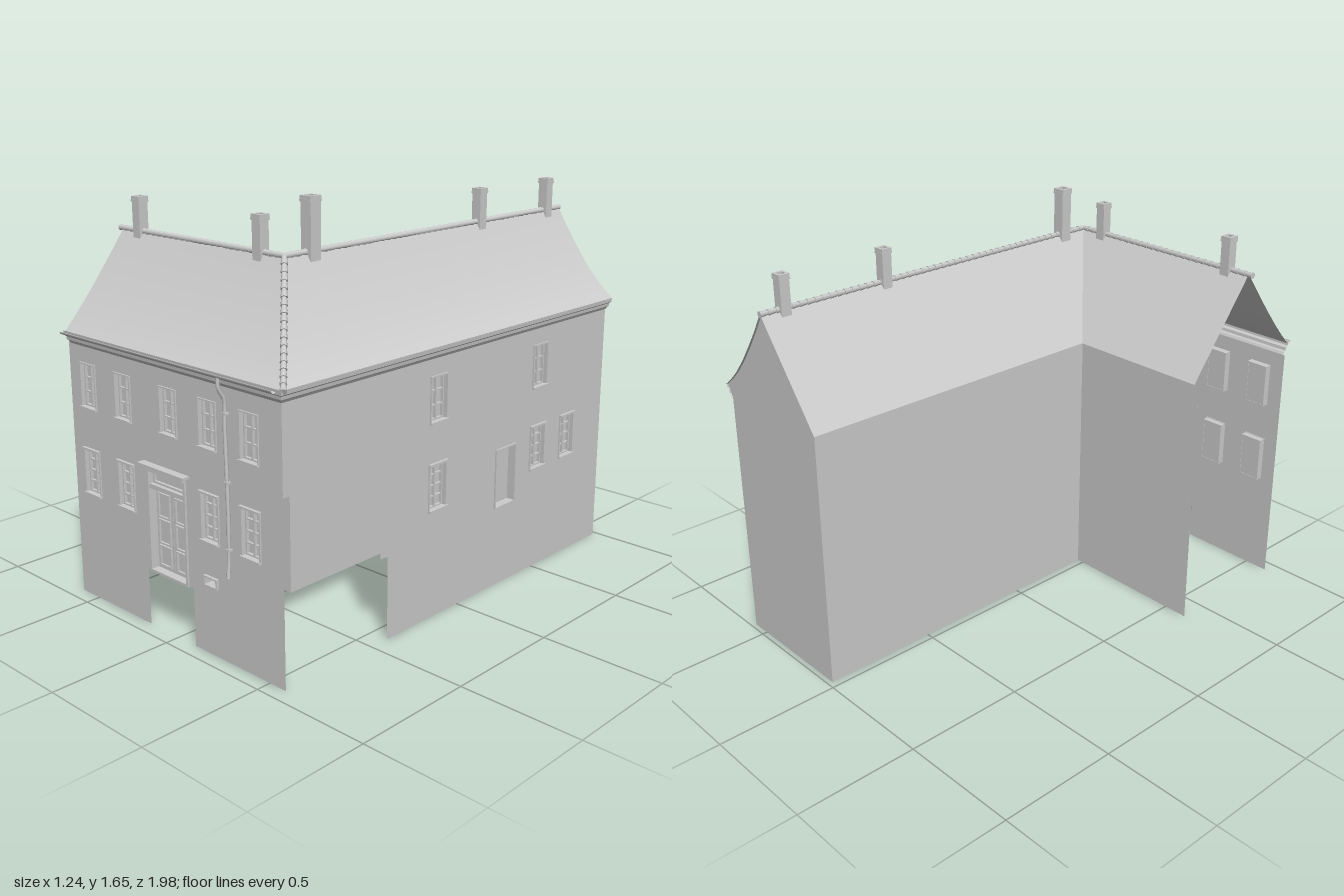
import * as THREE from 'three';
import { mergeGeometries } from 'three/addons/utils/BufferGeometryUtils.js';

const mat = new THREE.MeshStandardMaterial({ color: 0xcccccc, side: THREE.DoubleSide });
const flat = new THREE.MeshStandardMaterial({ color: 0xcccccc, side: THREE.DoubleSide, flatShading: true });

const BASE = 0.335, EAVE = 1.04, RIDGE = 1.455, RX = 0.31, RZ = 0.66;
// roof profile: distance from the ridge, height (slightly flared at the eave)
const PROFILE = [[0, 1.455], [0.05, 1.374], [0.1, 1.302], [0.155, 1.228], [0.21, 1.165], [0.255, 1.123], [0.298, 1.09]];

function add(parent, name, geo, m = mat) {
  const mesh = new THREE.Mesh(geo, m);
  mesh.name = name;
  parent.add(mesh);
  return mesh;
}

function box(parent, name, w, h, d, x, y, z) {
  const mesh = add(parent, name, new THREE.BoxGeometry(w, h, d));
  mesh.position.set(x, y, z);
  return mesh;
}

// surface through rows of points; rows run down, columns run to the right
function grid(rows) {
  const n = rows[0].length, index = [];
  for (let i = 0; i < rows.length - 1; i++)
    for (let j = 0; j < n - 1; j++) {
      const a = i * n + j, b = a + n;
      index.push(a, b, a + 1, a + 1, b, b + 1);
    }
  const g = new THREE.BufferGeometry();
  g.setAttribute('position', new THREE.Float32BufferAttribute(rows.flat(2), 3));
  g.setIndex(index);
  g.computeVertexNormals();
  return g;
}

const polygon = pts => new THREE.Shape(pts.map(p => new THREE.Vector2(...p)));
const rect = (x, y, w, h) => [[x - w / 2, y], [x + w / 2, y], [x + w / 2, y + h], [x - w / 2, y + h]];

// flat wall with rectangular openings [x, y, w, h]
function wall(parent, name, pts, openings = []) {
  const s = polygon(pts);
  openings.forEach(o => s.holes.push(new THREE.Path(rect(...o).map(p => new THREE.Vector2(...p)))));
  return add(parent, name, new THREE.ShapeGeometry(s));
}

// rectangular ring around an opening, lining the reveal and standing slightly proud
function surround(parent, name, x, y, w, h, border, back, front) {
  const s = polygon(rect(x, y - border, w + border * 2, h + border * 2));
  s.holes.push(new THREE.Path(rect(x, y, w, h).map(p => new THREE.Vector2(...p))));
  const g = new THREE.ExtrudeGeometry(s, { depth: front - back, bevelEnabled: false });
  add(parent, name, g.translate(0, 0, back));
}

function makeWindow(parent, [x, y, w, h], panes, hooded) {
  const g = new THREE.Group();
  g.name = 'window';
  parent.add(g);
  surround(g, 'windowSurround', x, y, w, h, 0.006, -0.03, 0.006);
  box(g, 'windowPane', w, h, 0.004, x, y + h / 2, -0.026);
  surround(g, 'sash', x, y + 0.006, w - 0.012, h - 0.012, 0.006, -0.025, -0.012);
  box(g, 'mullion', 0.007, h, 0.012, x, y + h / 2, -0.018);
  for (let i = 1; i < panes; i++) box(g, 'glazingBar', w, 0.006, 0.01, x, y + h * i / panes, -0.019);
  box(g, 'windowSill', w + 0.014, 0.008, 0.018, x, y - 0.003, 0.004);
  if (hooded) box(g, 'windowHood', w + 0.016, 0.008, 0.016, x, y + h + 0.004, 0.004);
}

function makeFrontDoor(parent) {
  const g = new THREE.Group();
  g.name = 'frontDoor';
  g.position.x = -0.035;
  parent.add(g);
  surround(g, 'doorFrame', 0, 0.24, 0.2, 0.4, 0.01, -0.035, 0.008);
  box(g, 'transomBar', 0.2, 0.018, 0.035, 0, 0.573, -0.015);
  box(g, 'transomPanel', 0.2, 0.06, 0.006, 0, 0.61, -0.024);
  surround(g, 'transomFrame', 0, 0.592, 0.17, 0.036, 0.008, -0.024, -0.01);
  for (const s of [-1, 1]) {
    box(g, 'doorLeaf', 0.097, 0.325, 0.008, s * 0.0495, 0.402, -0.03);
    for (const [y, h] of [[0.26, 0.07], [0.35, 0.085], [0.455, 0.085]])
      surround(g, 'doorPanel', s * 0.0495, y, 0.056, h, 0.007, -0.028, -0.018);
  }
  box(g, 'doorFrieze', 0.22, 0.014, 0.022, 0, 0.645, 0.008);
  box(g, 'doorCornice', 0.262, 0.01, 0.036, 0, 0.661, 0.014);
}

function makeFront(parent) {
  const g = new THREE.Group();
  g.name = 'frontFacade';
  g.position.z = 0.94;
  parent.add(g);
  const upper = [-0.49, -0.275, -0.01, 0.205, 0.42].map(x => [x, 0.8, 0.085, 0.17]);
  const lower = [-0.49, -0.275, 0.205, 0.42].map(x => [x, 0.447, 0.088, 0.178]);
  wall(g, 'frontWall', [[-0.605, BASE], [-0.14, BASE], [-0.14, 0.645], [0.07, 0.645], [0.07, BASE],
    [0.58, BASE], [0.58, EAVE], [-0.605, EAVE]], [...upper, ...lower]);
  wall(g, 'frontBaseLeft', [[-0.605, 0], [-0.165, 0], [-0.165, 0.23], [-0.14, 0.23], [-0.14, BASE], [-0.605, BASE]]);
  wall(g, 'frontBaseRight', [[0.1, 0], [0.58, 0], [0.58, BASE], [0.07, BASE], [0.07, 0.23], [0.1, 0.23]],
    [[0.205, 0.278, 0.06, 0.028]]);
  upper.forEach(o => makeWindow(g, o, 3, false));
  lower.forEach(o => makeWindow(g, o, 4, true));
  makeFrontDoor(g);
  // cellar vent
  surround(g, 'cellarVent', 0.205, 0.278, 0.06, 0.028, 0.006, -0.035, 0.012);
  box(g, 'cellarVentBack', 0.06, 0.028, 0.004, 0.205, 0.292, -0.03);
}

function makeSide(parent) {
  // local x runs towards the back of the house
  const g = new THREE.Group();
  g.name = 'sideFacade';
  g.position.x = 0.58;
  g.rotation.y = Math.PI / 2;
  parent.add(g);
  const upper = [-0.136, 0.51].map(x => [x, 0.797, 0.088, 0.172]);
  const lower = [-0.136, 0.51, 0.72].map(x => [x, 0.447, 0.092, 0.178]);
  const door = [0.293, 0.342, 0.122, 0.24];
  wall(g, 'sideWall', [[-0.94, EAVE], [-0.94, 0.71], [-0.455, 0.71], [-0.455, BASE], [0.98, BASE], [0.98, EAVE]],
    [...upper, ...lower, door]);
  wall(g, 'sideBase', [[-0.415, 0], [0.98, 0], [0.98, BASE], [-0.415, BASE]]);
  upper.forEach(o => makeWindow(g, o, 3, false));
  lower.forEach(o => makeWindow(g, o, 4, true));
  surround(g, 'sideDoorFrame', ...door, 0.006, -0.035, 0.007);
  box(g, 'sideDoor', 0.122, 0.24, 0.005, 0.293, 0.462, -0.032);
}

function makeRearWalls(parent) {
  // gable end, local x is mirrored
  const gable = new THREE.Group();
  gable.name = 'gableEnd';
  gable.position.z = -0.98;
  gable.rotation.y = Math.PI;
  parent.add(gable);
  const slope = PROFILE.map(([d, y]) => [-(RX + d), y]).reverse();
  wall(gable, 'gableWall', [[-0.03, BASE], [-0.58, BASE], [-0.58, EAVE], ...slope, [-0.03, 1.085]]);
  wall(gable, 'gableBase', [[-0.58, 0], [-0.03, 0], [-0.03, BASE], [-0.58, BASE]]);
  // plain walls round the courtyard
  const back = wall(parent, 'courtyardBackWall', [[-0.03, 0], [0.605, 0], [0.605, 1.085], [-0.03, 1.085]]);
  back.position.z = 0.383;
  back.rotation.y = Math.PI;
  const inner = wall(parent, 'courtyardSideWall', [[-0.98, 0], [0.383, 0], [0.383, 1.085], [-0.98, 1.085]]);
  inner.position.x = 0.03;
  inner.rotation.y = -Math.PI / 2;
}

function makeRoof(parent) {
  const g = new THREE.Group();
  g.name = 'roof';
  parent.add(g);
  const straight = d => RIDGE - d / 0.298 * (RIDGE - 1.09);
  // the front slope is nearly straight at the open end and flared at the hip
  add(g, 'frontSlope', grid(PROFILE.map(([d, y]) =>
    [[-0.597, (straight(d) * 2 + y) / 3, RZ + d], [RX + d, y, RZ + d]])));
  add(g, 'sideSlope', grid(PROFILE.map(([d, y]) => [[RX + d, y, RZ + d], [RX + d, y, -0.99]])));
  const inside = [[0, RIDGE], [0.295, 1.07]];
  add(g, 'courtyardSideSlope', grid(inside.map(([d, y]) => [[RX - d, y, -0.99], [RX - d, y, RZ - d]])));
  add(g, 'courtyardBackSlope', grid(inside.map(([d, y]) => [[RX - d, y, RZ - d], [-0.597, y, RZ - d]])));

  // moulded cornice, mitred round the corner
  const moulding = [[0.028, 1.092], [0.026, 1.075], [0.016, 1.068], [0.014, 1.055], [0.006, 1.05], [0, EAVE]];
  add(g, 'eaveCornice', grid(moulding.map(([o, y]) =>
    [[-0.597, y, 0.94 + o], [0.58 + o, y, 0.94 + o], [0.58 + o, y, -0.985]])), flat);

  // overlapping ridge and hip tiles
  const up = new THREE.Vector3(0, 1, 0), tiles = [];
  const runs = [
    [[-0.615, RIDGE, RZ], [RX, RIDGE, RZ]],
    [[RX, RIDGE, -0.99], [RX, RIDGE, RZ]],
    PROFILE.map(([d, y]) => [RX + d, y, RZ + d]).reverse(),
  ];
  for (const run of runs) {
    const path = new THREE.CurvePath();
    for (let i = 1; i < run.length; i++)
      path.add(new THREE.LineCurve3(new THREE.Vector3(...run[i - 1]), new THREE.Vector3(...run[i])));
    const n = Math.round(path.getLength() / 0.034);
    for (let i = 0; i < n; i++) {
      const a = path.getPointAt(i / n), b = path.getPointAt((i + 1) / n);
      const dir = b.clone().sub(a), len = dir.length();
      const tile = new THREE.CylinderGeometry(0.009, 0.013, len * 1.1, 8);
      tile.applyQuaternion(new THREE.Quaternion().setFromUnitVectors(up, dir.normalize()));
      const m = a.add(b).multiplyScalar(0.5);
      tiles.push(tile.translate(m.x, m.y - 0.002, m.z));
    }
  }
  add(g, 'ridgeTiles', mergeGeometries(tiles));
}

function makeChimney(parent, x, z, top, w) {
  const g = new THREE.Group();
  g.name = 'chimney';
  g.position.set(x, 0, z);
  parent.add(g);
  const h = top - 0.02 - 1.42;
  box(g, 'chimneyStack', w, h, w, 0, 1.42 + h / 2, 0);
  box(g, 'chimneyCollar', w + 0.006, 0.008, w + 0.006, 0, top - 0.018, 0);
  const s = polygon(rect(0, -w / 2 - 0.002, w + 0.004, w + 0.004));
  s.holes.push(new THREE.Path(rect(0, -w / 2 + 0.008, w - 0.016, w - 0.016).map(p => new THREE.Vector2(...p))));
  const rim = add(g, 'chimneyRim', new THREE.ExtrudeGeometry(s, { depth: 0.016, bevelEnabled: false }));
  rim.rotation.x = -Math.PI / 2;
  rim.position.y = top - 0.016;
}

function makeRainwater(parent) {
  const trough = new THREE.CylinderGeometry(0.012, 0.012, 1.175, 10, 1, true, -Math.PI / 2, Math.PI);
  const gutter = add(parent, 'gutter', trough.rotateX(Math.PI / 2).rotateX(Math.PI / 2).rotateX(Math.PI / 2)
    .rotateX(Math.PI / 2).rotateZ(-Math.PI / 2).rotateX(Math.PI / 2));
  gutter.position.set(-0.005, 1.092, 0.976);
  const path = new THREE.CatmullRomCurve3([[0.31, 1.085, 0.978], [0.31, 1.04, 0.975], [0.311, 1.0, 0.953],
    [0.308, 0.9, 0.95], [0.314, 0.6, 0.95], [0.311, 0.4, 0.95], [0.313, 0.345, 0.956]].map(p => new THREE.Vector3(...p)));
  add(parent, 'downpipe', new THREE.TubeGeometry(path, 40, 0.007, 8));
  for (const y of [0.95, 0.7, 0.45]) box(parent, 'pipeBracket', 0.02, 0.008, 0.02, 0.312, y, 0.948);
}

export function createModel() {
  const house = new THREE.Group();
  house.name = 'house';
  makeFront(house);
  makeSide(house);
  makeRearWalls(house);
  makeRoof(house);
  makeRainwater(house);
  for (const [x, z, top, w] of [[-0.49, RZ, 1.587, 0.042], [0.19, RZ, 1.587, 0.042],
    [RX, 0.53, 1.65, 0.05], [RX, -0.43, 1.587, 0.042], [RX, -0.89, 1.587, 0.042]])
    makeChimney(house, x, z, top, w);
  return house;
}
